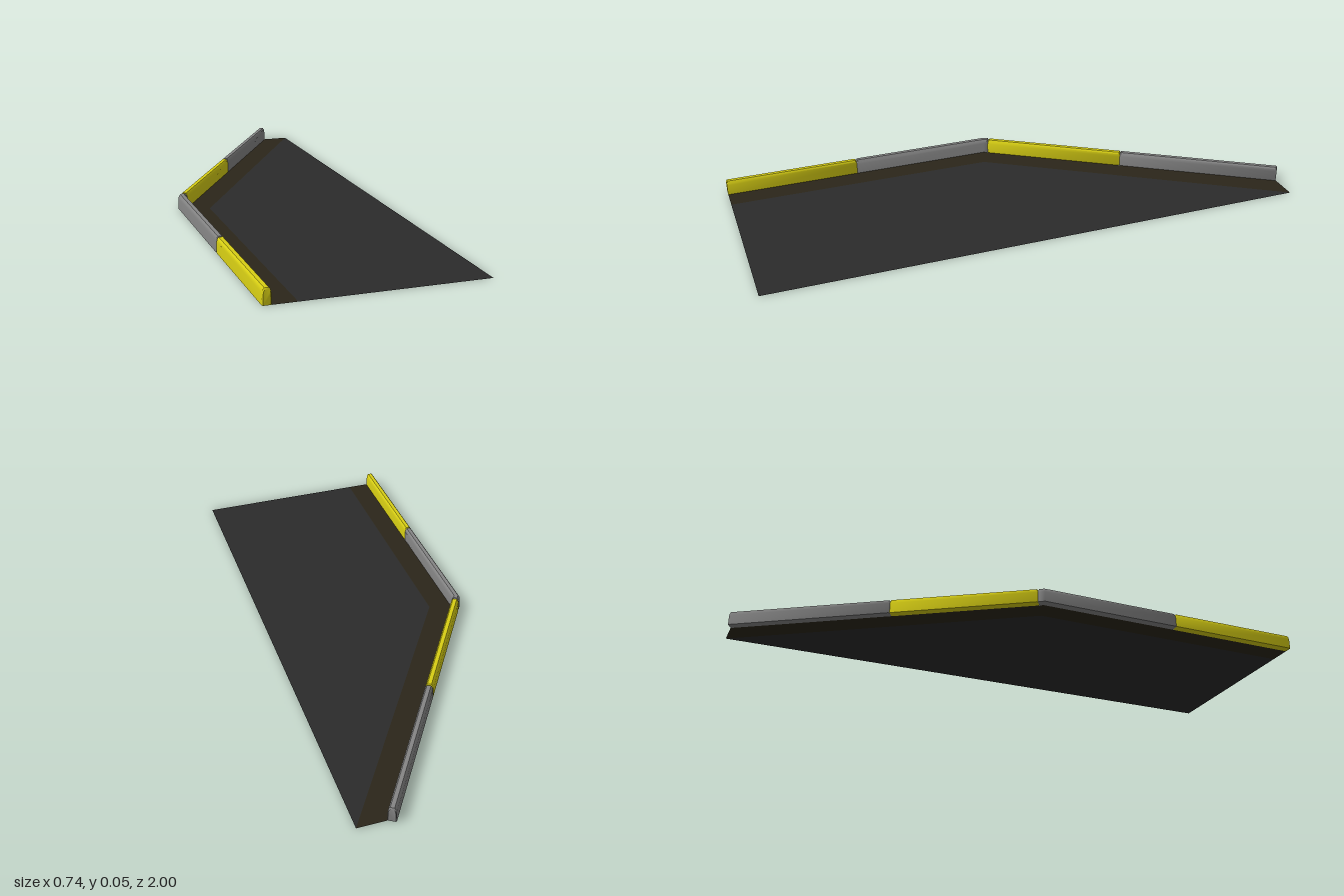
import * as THREE from 'three';
import { toCreasedNormals } from 'three/addons/utils/BufferGeometryUtils.js';

const WIDTH = 0.03;
// kerb cross-section: [distance from outer face, height]
const PROFILE = [[0, 0], [0.001, 0.038], [0.003, 0.047], [0.008, 0.053],
  [0.022, 0.053], [0.027, 0.047], [0.029, 0.038], [0.03, 0]];

// outer kerb line: straight leg, bend, slanted leg
const START = new THREE.Vector2(-0.37, 1);
const BEND = new THREE.Vector2(-0.37, -0.02);
const END = new THREE.Vector2(0.245, -1);
const straight = BEND.clone().sub(START).normalize();
const slant = END.clone().sub(BEND).normalize();
const across = (d) => new THREE.Vector2(-d.y, d.x);
const bendAcross = across(straight).add(across(slant)).normalize();
bendAcross.divideScalar(bendAcross.dot(across(straight)));

// a station is a point on the outer line, a direction across, and a section scale
const station = (from, dir, dist, scale = 1) =>
  ({ p: from.clone().addScaledVector(dir, dist), n: across(dir), scale });

// loft the section through the stations and cap both ends
function kerbGeometry(stations) {
  const pos = [], index = [], m = PROFILE.length;
  for (const { p, n, scale } of stations) {
    for (const [u, h] of PROFILE) {
      const w = WIDTH / 2 + (u - WIDTH / 2) * scale;
      pos.push(p.x + n.x * w, h * (1 + scale) / 2, p.y + n.y * w);
    }
  }
  for (let i = 0; i < stations.length - 1; i++) {
    for (let j = 0; j < m; j++) {
      const a = i * m + j, b = i * m + (j + 1) % m;
      index.push(a, b, a + m, b, b + m, a + m);
    }
  }
  const last = (stations.length - 1) * m;
  for (let k = 1; k < m - 1; k++) {
    index.push(0, k + 1, k, last, last + k, last + k + 1);
  }
  const g = new THREE.BufferGeometry();
  g.setAttribute('position', new THREE.Float32BufferAttribute(pos, 3));
  g.setIndex(index);
  return toCreasedNormals(g, 0.7);
}

// one block with softened ends, optionally passing through the bend
function block(from, d0, s0, to, d1, s1, middle = []) {
  const e = 0.004;
  return kerbGeometry([station(from, d0, s0, 0.82), station(from, d0, s0 + e),
    ...middle, station(to, d1, s1 - e), station(to, d1, s1, 0.82)]);
}

// flat ground piece from [x, z] corners
function flat(points) {
  const shape = new THREE.Shape(points.map(([x, z]) => new THREE.Vector2(x, -z)));
  return new THREE.ShapeGeometry(shape).rotateX(-Math.PI / 2);
}

export function createModel() {
  const group = new THREE.Group();
  const yellow = new THREE.MeshStandardMaterial({ color: 0xd8cf14 });
  const grey = new THREE.MeshStandardMaterial({ color: 0x858585 });
  const asphalt = new THREE.MeshStandardMaterial({ color: 0x2b2b2b, side: THREE.DoubleSide });
  const gutter = new THREE.MeshStandardMaterial({ color: 0x2b261a, side: THREE.DoubleSide });
  const add = (name, geometry, material) => {
    const mesh = new THREE.Mesh(geometry, material);
    mesh.name = name;
    group.add(mesh);
  };

  // kerb blocks, front to back
  const len = BEND.distanceTo(END), seam = len * 0.0215, mid = len * 0.48;
  add('frontYellowKerb', block(START, straight, 0, START, straight, 0.495), yellow);
  add('cornerGreyKerb', block(START, straight, 0.495, BEND, slant, seam,
    [{ p: BEND, n: bendAcross, scale: 1 }]), grey);
  add('slantedYellowKerb', block(BEND, slant, seam, BEND, slant, mid), yellow);
  add('backGreyKerb', block(BEND, slant, mid, BEND, slant, len), grey);

  // road surface and the darker strip along the kerb
  add('roadSurface', flat([[-0.26, 1], [0.37, 1], [0.37, -0.985], [-0.26, 0.015]]), asphalt);
  add('gutterStrip', flat([[-0.34, 1], [-0.26, 1], [-0.26, 0.015], [0.37, -0.985],
    [0.27, -0.985], [-0.34, -0.012]]), gutter);
  return group;
}
